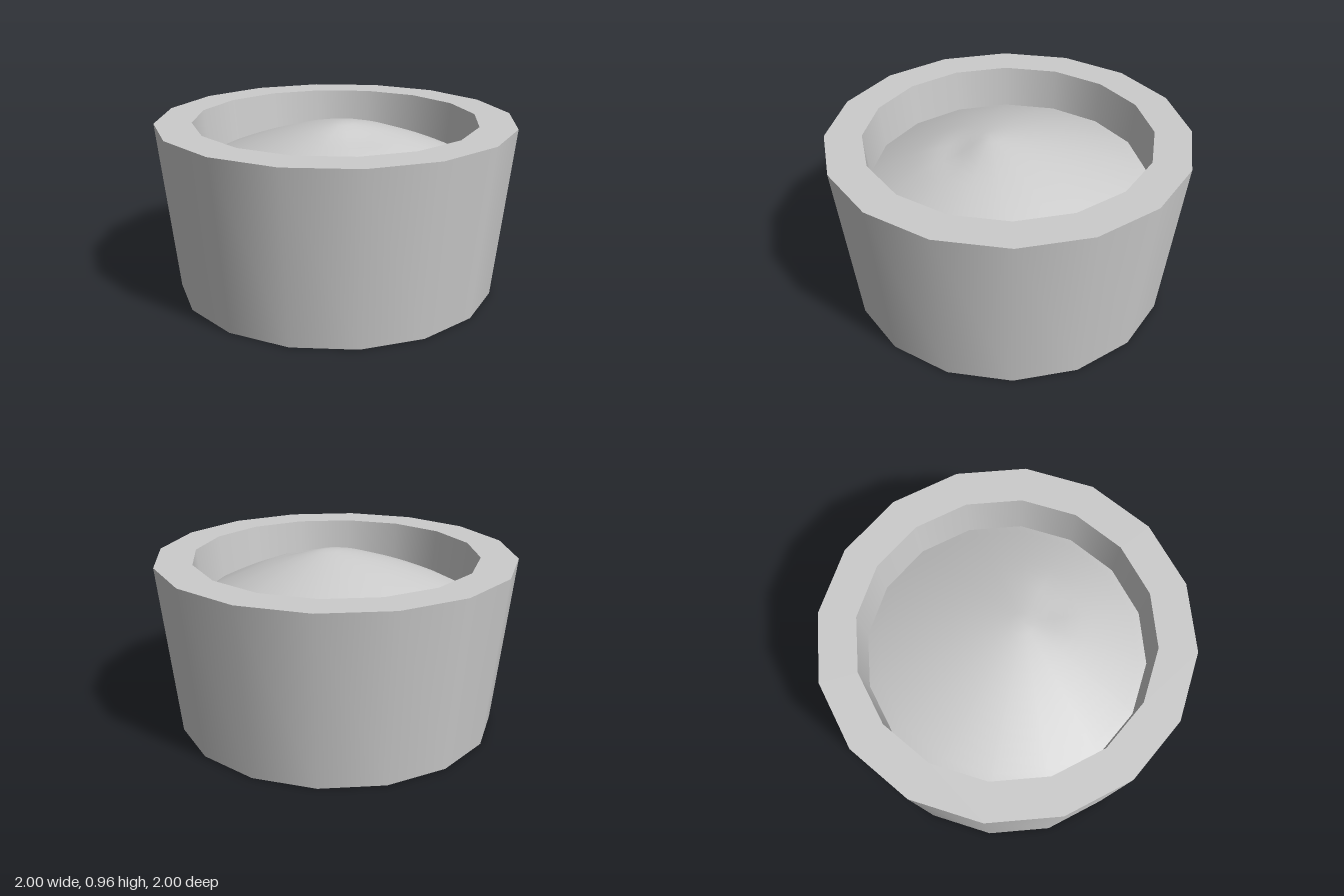
import * as THREE from 'three';
import { mergeVertices } from 'three/addons/utils/BufferGeometryUtils.js';

const SIDES = 16;

export function createModel() {
  const model = new THREE.Group();
  const material = new THREE.MeshStandardMaterial({ color: 0xcccccc });

  // Pot: each straight run of the profile is its own band, so the rims stay sharp
  const pot = new THREE.Group();
  pot.name = 'pot';
  const profile = [[0, 0], [0.9, 0], [1, 0.96], [0.795, 0.96], [0.765, 0.68]]
    .map(([r, y]) => new THREE.Vector2(r, y));
  ['base', 'outerWall', 'rim', 'innerWall'].forEach((name, i) => {
    const band = new THREE.Mesh(new THREE.LatheGeometry([profile[i], profile[i + 1]], SIDES), material);
    band.name = name;
    pot.add(band);
  });
  model.add(pot);

  // Soil: a smooth mound with its peak off centre and a shallow hollow beside it
  const edge = 0.773, rings = 12, points = [];
  for (let i = 0; i <= rings; i++) {
    const t = 1 - i / rings;
    points.push(new THREE.Vector2(edge * t, 0.965 - 0.25 * Math.pow(t, 1.45)));
  }
  let soilGeometry = new THREE.LatheGeometry(points, SIDES);
  const pos = soilGeometry.attributes.position;
  for (let i = 0; i < pos.count; i++) {
    const inner = 1 - Math.hypot(pos.getX(i), pos.getZ(i)) / edge;
    const x = pos.getX(i) + 0.09 * inner;
    const z = pos.getZ(i) + 0.05 * inner;
    const hollow = 0.025 * Math.exp(-((x - 0.27) ** 2 + (z - 0.14) ** 2) / 0.012);
    pos.setXYZ(i, x, pos.getY(i) - hollow, z);
  }
  soilGeometry.deleteAttribute('normal');
  soilGeometry.deleteAttribute('uv');
  soilGeometry = mergeVertices(soilGeometry, 1e-4);
  soilGeometry.computeVertexNormals();
  const soil = new THREE.Mesh(soilGeometry, material);
  soil.name = 'soil';
  model.add(soil);

  return model;
}
